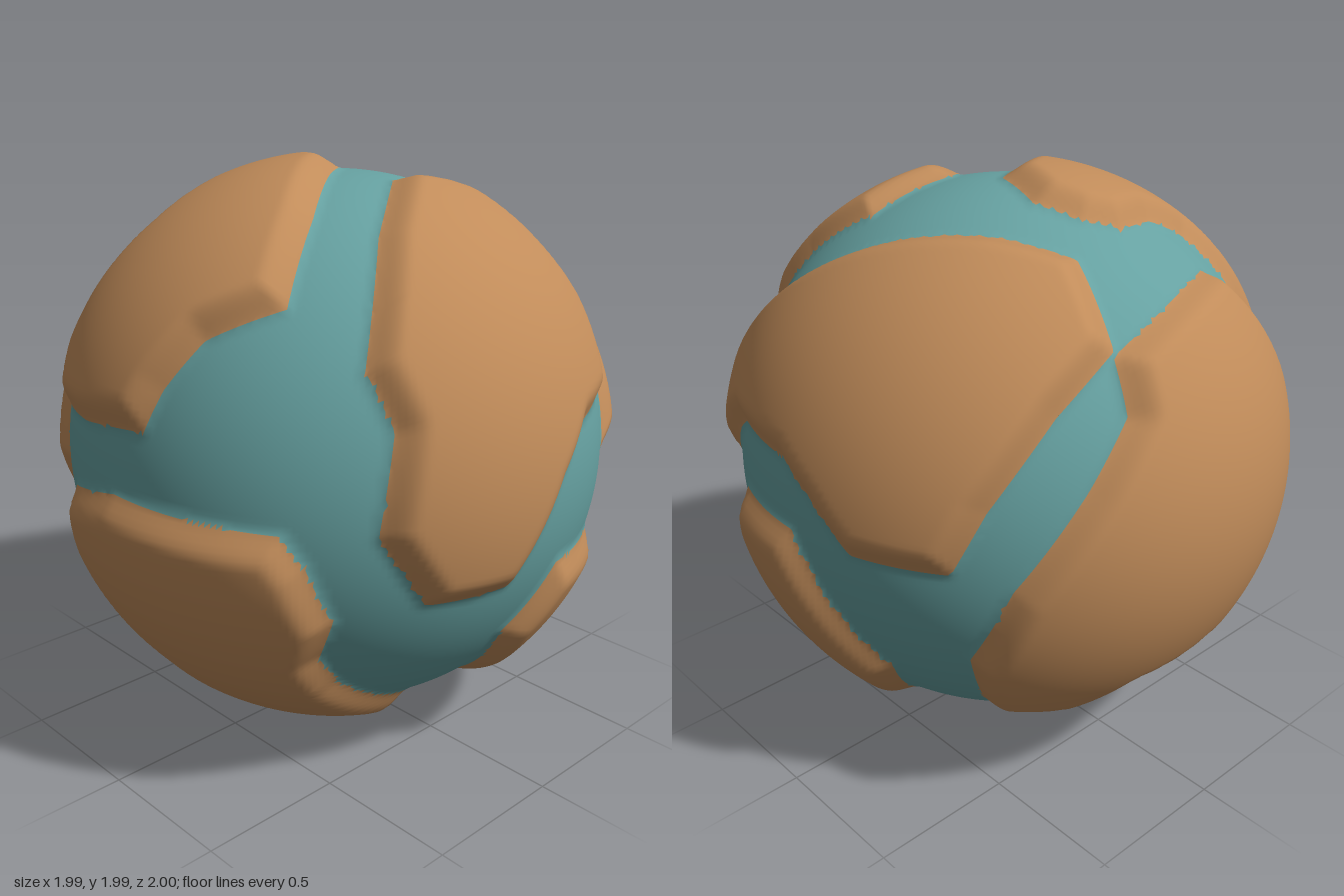
import * as THREE from 'three';
import { mergeVertices } from 'three/addons/utils/BufferGeometryUtils.js';

const BASE_RADIUS = 0.94, PLATE_RADIUS = 1.0, CELLS = 76;

// Outline corners of each raised plate, as directions from the centre
const frontPlate = [[-.5, .46, .65], [-.25, .78, .45], [.05, .91, .22], [.37, .83, .25], [.45, .66, .5],
  [.49, .5, .62], [.42, .23, .81], [.22, .2, .89], [.08, .06, .93], [-.12, -.25, .9], [-.4, -.25, .81],
  [-.55, 0, .76], [-.48, .3, .75]];
const upperSidePlate = [[.22, .59, -.69], [.15, .8, -.47], [.3, .85, -.25], [.5, .79, .08], [.61, .62, .35],
  [.64, .47, .5], [.62, .2, .68], [.57, 0, .75], [.76, 0, .55], [.83, .16, .42], [.85, .22, .33],
  [.91, .22, .02], [.92, .14, -.12], [.9, 0, -.28], [.75, 0, -.57], [.66, .2, -.63], [.45, .45, -.69]];
const lowerSidePlate = [[.13, -.25, .9], [.44, -.25, .79], [.5, -.38, .7], [.6, -.43, .58], [.72, -.35, .49],
  [.82, -.2, .42], [.89, 0, .31], [.94, 0, -.03], [.9, -.22, -.15], [.76, -.48, -.28], [.57, -.73, -.15],
  [.24, -.9, .11], [.16, -.86, .34], [.05, -.7, .62], [-.03, -.47, .81]];
const backPlate = [[.23, .58, -.7], [.26, .43, -.79], [.42, .25, -.8], [.62, -.05, -.7], [.67, -.34, -.56],
  [.52, -.62, -.46], [.27, -.68, -.59], [.14, -.55, -.75], [-.1, -.51, -.78], [-.37, -.55, -.66],
  [-.46, -.5, -.645], [-.75, -.04, -.56], [-.58, .38, -.63], [-.34, .68, -.55]];
const topPlate = [[-.62, .53, -.47], [-.45, .73, -.38], [-.28, .81, -.37], [-.1, .83, -.42], [.02, .87, -.36],
  [.09, .91, -.22], [.02, .94, 0], [-.1, .93, .08], [-.35, .83, .27], [-.58, .61, .41], [-.75, .52, .24],
  [-.85, .37, .16], [-.9, .24, .12], [-.89, .2, -.2], [-.82, .19, -.41], [-.71, .34, -.5]];
const leftPlate = [[-.75, 0, .56], [-.7, -.1, .61], [-.62, -.3, .64], [-.6, -.45, .56], [-.5, -.58, .54],
  [-.3, -.72, .52], [-.12, -.8, .48], [-.09, -.88, .31], [-.12, -.92, .14], [-.38, -.85, .06],
  [-.7, -.62, -.06], [-.8, -.3, -.39], [-.885, -.05, -.315], [-.94, .02, 0]];
const bottomPlate = [[.16, -.92, -.12], [0, -.76, -.55], [-.095, -.675, -.65], [-.28, -.615, -.65],
  [-.49, -.65, -.47], [-.66, -.55, -.36], [-.6, -.7, -.18], [-.33, -.87, -.13], [0, -.935, 0], [.1, -.93, 0]];

const plates = [frontPlate, upperSidePlate, lowerSidePlate, backPlate, topPlate, leftPlate, bottomPlate].map((outline) => {
  const corners = outline.map((c) => new THREE.Vector3(...c).normalize());
  const centre = corners.reduce((sum, c) => sum.add(c), new THREE.Vector3()).normalize();
  const edges = corners.map((c, i) => new THREE.Line3(c, corners[(i + 1) % corners.length]));
  return { corners, centre, edges };
});

// Winding test of a direction against a plate outline on the sphere
function isInside(p, { corners, centre }) {
  if (p.dot(centre) < 0.15) return false;
  let turn = 0;
  const cross = new THREE.Vector3();
  corners.forEach((a, i) => {
    const b = corners[(i + 1) % corners.length];
    turn += Math.atan2(cross.crossVectors(a, b).dot(p), a.dot(b) - a.dot(p) * b.dot(p));
  });
  return Math.abs(turn) > Math.PI;
}
const onAnyPlate = (p) => plates.some((plate) => isInside(p, plate));

// Closest outline point to a direction
function nearestEdge(p) {
  const best = new THREE.Vector3(), q = new THREE.Vector3();
  let distance = Infinity;
  for (const { edges } of plates) {
    for (const edge of edges) {
      edge.closestPointToPoint(p, true, q).normalize();
      const d = q.distanceTo(p);
      if (d < distance) {
        distance = d;
        best.copy(q);
      }
    }
  }
  return { distance, point: best };
}

// Even grid on a ball, with vertices snapped to the plate outlines and plates swollen outwards
function buildSurface() {
  const box = new THREE.BoxGeometry(2, 2, 2, CELLS, CELLS, CELLS);
  box.deleteAttribute('normal');
  box.deleteAttribute('uv');
  box.clearGroups();
  const geometry = mergeVertices(box, 1e-4);
  const pos = geometry.attributes.position;
  const directions = [];
  const even = (t) => Math.tan(t * Math.PI / 4);
  for (let i = 0; i < pos.count; i++) {
    const p = new THREE.Vector3(even(pos.getX(i)), even(pos.getY(i)), even(pos.getZ(i))).normalize();
    const { distance, point } = nearestEdge(p);
    let depth = onAnyPlate(p) ? distance : -distance;
    if (distance < 0.42 * 1.57 / CELLS) {
      p.copy(point);
      depth = 0;
    }
    directions.push(p);
    const rise = THREE.MathUtils.smoothstep(depth, -0.025, 0.1);
    const r = THREE.MathUtils.lerp(BASE_RADIUS, PLATE_RADIUS, rise);
    pos.setXYZ(i, p.x * r, p.y * r, p.z * r);
  }
  geometry.computeVertexNormals();

  // Sort the faces into ball and plates
  const ball = [], raised = [], mid = new THREE.Vector3();
  const index = geometry.index.array;
  for (let i = 0; i < index.length; i += 3) {
    const face = [index[i], index[i + 1], index[i + 2]];
    mid.set(0, 0, 0);
    face.forEach((v) => mid.add(directions[v]));
    (onAnyPlate(mid.normalize()) ? raised : ball).push(...face);
  }
  return { geometry, ball, raised };
}

export function createModel() {
  const teal = new THREE.MeshStandardMaterial({ color: 0x66a1a1 });
  teal.name = 'teal';
  const tan = new THREE.MeshStandardMaterial({ color: 0xc18c5a });
  tan.name = 'tan';

  const { geometry, ball, raised } = buildSurface();
  const model = new THREE.Group();
  model.name = 'platedBall';

  // Both parts share vertices and normals so the seam stays smooth
  const addPart = (name, faces, material) => {
    const part = new THREE.BufferGeometry();
    part.setAttribute('position', geometry.attributes.position);
    part.setAttribute('normal', geometry.attributes.normal);
    part.setIndex(faces);
    const mesh = new THREE.Mesh(part, material);
    mesh.name = name;
    mesh.position.y = 1;
    model.add(mesh);
  };
  addPart('ball', ball, teal);
  addPart('raisedPlates', raised, tan);
  return model;
}
